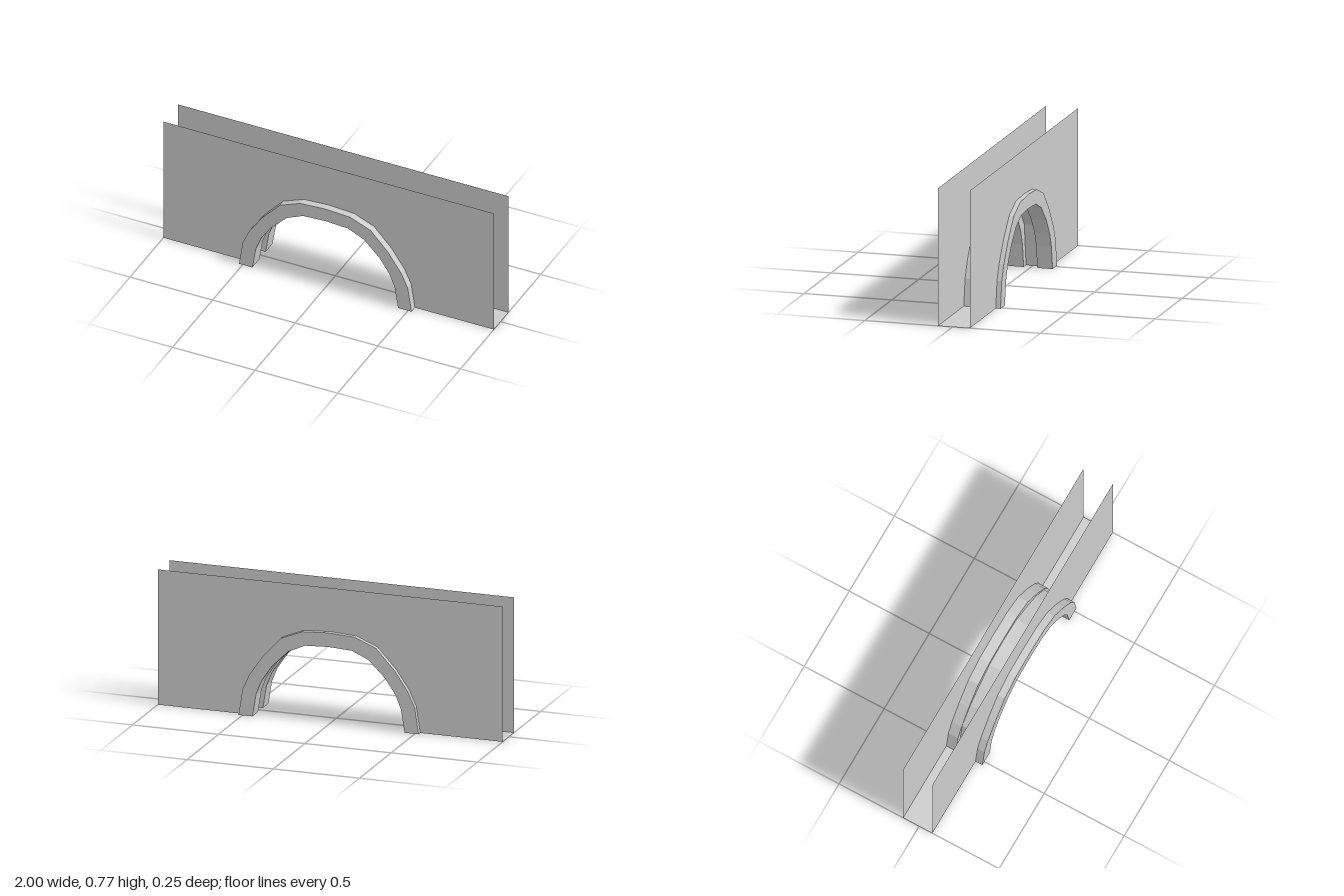
import * as THREE from 'three';

const material = new THREE.MeshStandardMaterial({ color: 0xcccccc, flatShading: true, side: THREE.DoubleSide });

// Half profiles of the arch, from the foot (y = 0) to the crown (x = 0)
const OUTER = [[0.522, 0], [0.499, 0.149], [0.46, 0.235], [0.382, 0.348], [0.275, 0.463], [0.152, 0.513], [0, 0.522]];
const INNER = [[0.441, 0], [0.42, 0.13], [0.388, 0.21], [0.326, 0.3], [0.232, 0.392], [0.135, 0.435], [0, 0.442]];
const CHANNEL = [[0.487, 0], [0.453, 0.237], [0.362, 0.345], [0.262, 0.417], [0.15, 0.486], [0, 0.501]];

// Mirror a half profile into a full arch running from +x to -x
function fullArch(half) {
  const mirrored = half.slice(0, -1).reverse().map(([x, y]) => [-x, y]);
  return [...half, ...mirrored].map(([x, y]) => new THREE.Vector2(x, y));
}

function addMesh(parent, name, geometry) {
  const mesh = new THREE.Mesh(geometry, material);
  mesh.name = name;
  parent.add(mesh);
  return mesh;
}

// Open sheet swept along z under a profile
function sheetGeometry(points, z0, z1) {
  const positions = [];
  for (let i = 0; i < points.length - 1; i++) {
    const a = points[i], b = points[i + 1];
    positions.push(a.x, a.y, z1, a.x, a.y, z0, b.x, b.y, z0);
    positions.push(a.x, a.y, z1, b.x, b.y, z0, b.x, b.y, z1);
  }
  const geometry = new THREE.BufferGeometry();
  geometry.setAttribute('position', new THREE.Float32BufferAttribute(positions, 3));
  geometry.computeVertexNormals();
  return geometry;
}

export function createModel() {
  const model = new THREE.Group();
  model.name = 'archedWall';
  const height = 0.77, wallFront = 0.083, wallBack = -0.099;
  const ribInner = 0.039, ribOuter = 0.126;
  const channel = fullArch(CHANNEL);

  // Thin wall faces with the arch opening cut out
  const wallShape = new THREE.Shape([
    new THREE.Vector2(1, 0), new THREE.Vector2(1, height),
    new THREE.Vector2(-1, height), new THREE.Vector2(-1, 0),
    ...channel.slice().reverse(),
  ]);
  addMesh(model, 'frontWall', new THREE.ShapeGeometry(wallShape)).position.z = wallFront;
  const back = addMesh(model, 'backWall', new THREE.ShapeGeometry(wallShape));
  back.rotation.y = Math.PI;
  back.position.z = wallBack;

  // Bottom sheets closing the wall on either side of the arch
  const footX = CHANNEL[0][0];
  for (const [side, name] of [[1, 'leftFloor'], [-1, 'rightFloor']]) {
    const floor = addMesh(model, name, new THREE.PlaneGeometry(1 - footX, wallFront - wallBack));
    floor.rotation.x = Math.PI / 2;
    floor.position.set(side * (1 + footX) / 2, 0, (wallFront + wallBack) / 2);
  }

  // Two solid arch ribs
  const ribShape = new THREE.Shape([...fullArch(OUTER), ...fullArch(INNER).reverse()]);
  for (const [z, name] of [[ribInner, 'frontRib'], [-ribOuter, 'backRib']]) {
    const geometry = new THREE.ExtrudeGeometry(ribShape, { depth: ribOuter - ribInner, bevelEnabled: false });
    addMesh(model, name, geometry).position.z = z;
  }

  // Recessed channel sheet between the ribs
  addMesh(model, 'archChannel', sheetGeometry(channel, -ribInner, ribInner));

  return model;
}
